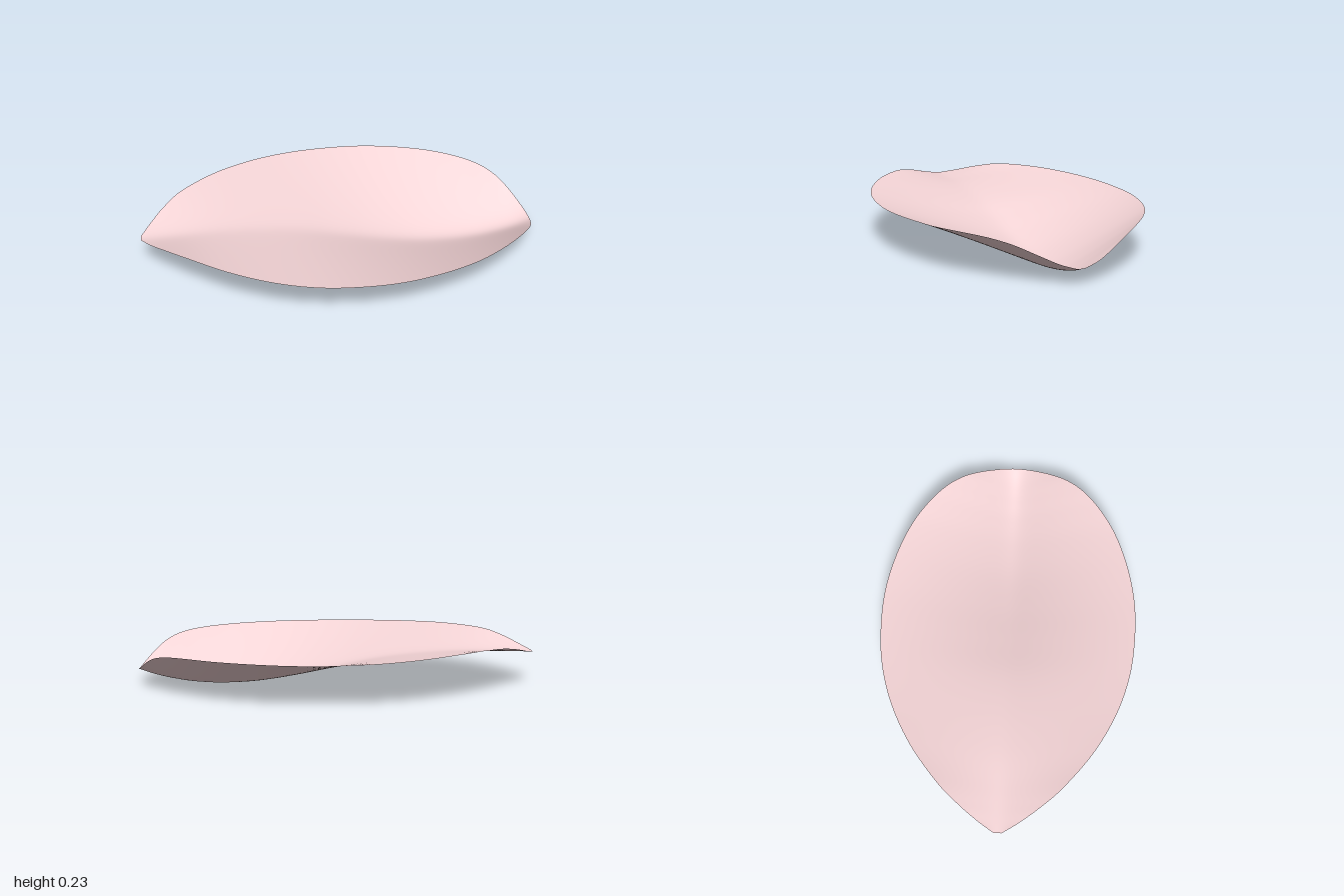
import * as THREE from 'three';

// Stations along the petal: [x, midrib height, rim height, half width]
const STATIONS = [
  [-1, 0.16, 0.161, 0.02], [-0.95, 0.162, 0.18, 0.1], [-0.88, 0.164, 0.207, 0.195],
  [-0.78, 0.166, 0.229, 0.305], [-0.6, 0.167, 0.232, 0.447], [-0.4, 0.155, 0.226, 0.553],
  [-0.2, 0.13, 0.22, 0.615], [0, 0.088, 0.217, 0.638], [0.2, 0.045, 0.216, 0.633],
  [0.4, 0.013, 0.216, 0.592], [0.58, 0.003, 0.215, 0.525], [0.72, 0.01, 0.212, 0.44],
  [0.82, 0.025, 0.202, 0.355], [0.89, 0.04, 0.178, 0.27], [0.94, 0.054, 0.14, 0.185],
  [0.98, 0.068, 0.099, 0.095], [1, 0.075, 0.076, 0.02],
];

// Smooth curve through one column of the stations, carried in y with x along the petal
const curveOf = (column) => new THREE.CatmullRomCurve3(
  STATIONS.map((s) => new THREE.Vector3(s[0], s[column], 0)), false, 'catmullrom', 0.5);

export function createModel() {
  const [midrib, rim, width] = [1, 2, 3].map(curveOf);
  const crease = 0.055; // rounding radius of the central fold

  // Flat grid bent into a keeled petal: a softened V in every cross-section
  const geometry = new THREE.PlaneGeometry(2, 2, 96, 56).rotateX(-Math.PI / 2);
  const position = geometry.attributes.position;
  for (let i = 0; i < position.count; i++) {
    const u = THREE.MathUtils.clamp((position.getX(i) + 1) / 2, 0, 1);
    const centre = midrib.getPoint(u);
    const w = width.getPoint(u).y;
    const z = position.getZ(i) * w;
    const rise = (Math.hypot(z, crease) - crease) / (Math.hypot(w, crease) - crease);
    position.setXYZ(i, centre.x, centre.y + (rim.getPoint(u).y - centre.y) * rise, z);
  }
  geometry.computeVertexNormals();

  const petal = new THREE.Mesh(geometry,
    new THREE.MeshStandardMaterial({ color: 0xf6d6d8, side: THREE.DoubleSide }));
  petal.name = 'petal';

  const model = new THREE.Group();
  model.name = 'flowerPetal';
  model.add(petal);
  return model;
}
